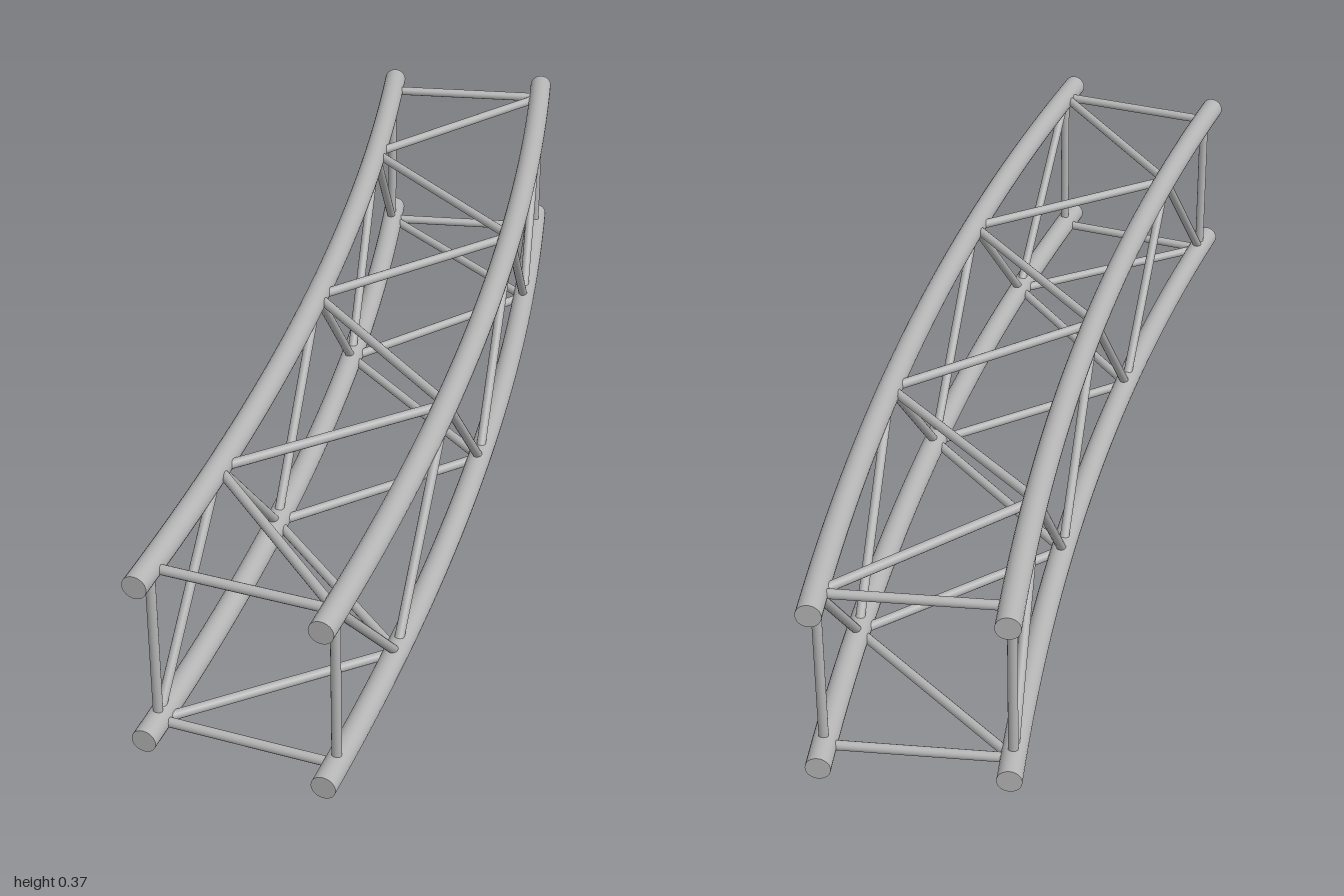
import * as THREE from 'three';

const OUTER = 7.705, INNER = 7.376;       // bend radii of the two chord pairs
const CX = 0.2895 - OUTER;                // bend centre, at z = 1
const LOW = 0.0225, HIGH = 0.352;         // chord centre heights
const CHORD_R = 0.0225, STRUT_R = 0.009;
const SWEEP = THREE.MathUtils.degToRad(15);
const INSET = THREE.MathUtils.degToRad(0.47);
const BAYS = 6;

// Point on a chord at an angle measured from the front end
const at = (r, y, a) => new THREE.Vector3(CX + r * Math.cos(a), y, 1 - r * Math.sin(a));

class ChordCurve extends THREE.Curve {
  constructor(r, y) {
    super();
    this.r = r;
    this.y = y;
  }
  getPoint(t, target = new THREE.Vector3()) {
    return target.copy(at(this.r, this.y, t * SWEEP));
  }
}

export function createModel() {
  const model = new THREE.Group();
  model.name = 'curvedTruss';
  const metal = new THREE.MeshStandardMaterial({ color: 0xb4b4b4 });
  metal.name = 'aluminium';

  const add = (name, geometry) => {
    const mesh = new THREE.Mesh(geometry, metal);
    mesh.name = name;
    model.add(mesh);
    return mesh;
  };

  // Straight round bar between two points
  const strut = (name, a, b) => {
    const mesh = add(name, new THREE.CylinderGeometry(STRUT_R, STRUT_R, a.distanceTo(b), 14));
    mesh.position.copy(a).lerp(b, 0.5);
    mesh.quaternion.setFromUnitVectors(new THREE.Vector3(0, 1, 0), b.clone().sub(a).normalize());
  };

  // Four bent main tubes with end caps
  for (const r of [OUTER, INNER]) {
    for (const y of [LOW, HIGH]) {
      add('chord', new THREE.TubeGeometry(new ChordCurve(r, y), 32, CHORD_R, 24, false));
      add('frontCap', new THREE.CircleGeometry(CHORD_R, 24)).position.copy(at(r, y, 0));
      const back = add('backCap', new THREE.CircleGeometry(CHORD_R, 24));
      back.position.copy(at(r, y, SWEEP));
      back.rotation.y = Math.PI + SWEEP;
    }
  }

  const angle = (k) => INSET + (SWEEP - 2 * INSET) * k / BAYS;

  // Square frames at both ends
  for (const k of [0, BAYS]) {
    const a = angle(k);
    for (const r of [OUTER, INNER]) strut('endPost', at(r, LOW, a), at(r, HIGH, a));
    for (const y of [LOW, HIGH]) strut('endCrossbar', at(INNER, y, a), at(OUTER, y, a));
  }

  // Zigzag lacing; nodes alternate between diagonally opposite chords
  const nodes = (k) => k % 2 === 0
    ? { inner: at(INNER, LOW, angle(k)), outer: at(OUTER, HIGH, angle(k)) }
    : { inner: at(INNER, HIGH, angle(k)), outer: at(OUTER, LOW, angle(k)) };
  for (let k = 0; k < BAYS; k++) {
    const p = nodes(k), q = nodes(k + 1);
    strut('innerSideDiagonal', p.inner, q.inner);
    strut('outerSideDiagonal', p.outer, q.outer);
    strut('levelDiagonal', p.inner, q.outer);
    strut('levelDiagonal', p.outer, q.inner);
  }
  return model;
}
